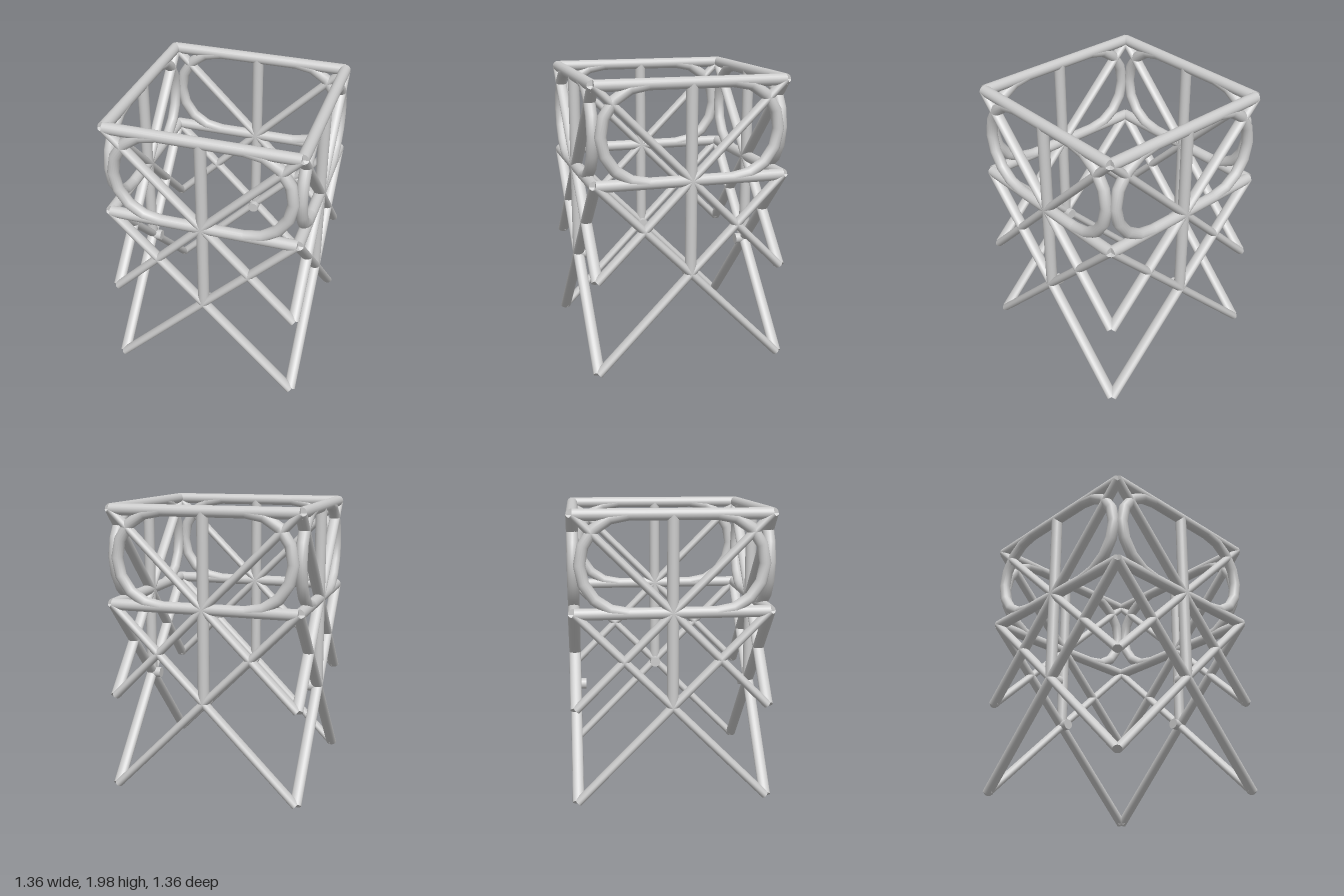
import * as THREE from 'three';

const R = 0.039;                      // tube radius
const HALF = 0.64;                    // distance from centre to each side frame
const Y = [0.035, 0.685, 1.325, 1.96]; // node heights

// Closed faceted path: two half circles joined by straight runs
class StadiumCurve extends THREE.Curve {
  constructor(cx, cy, r, steps) {
    super();
    this.pts = [];
    for (const side of [1, -1]) {
      for (let i = 0; i <= steps; i++) {
        const a = -Math.PI / 2 + (Math.PI * i) / steps;
        this.pts.push(new THREE.Vector3(side * (cx + r * Math.cos(a)), cy + side * r * Math.sin(a), 0));
      }
    }
  }
  at(i) {
    const n = this.pts.length;
    return this.pts[((i % n) + n) % n];
  }
  getPoint(t, target = new THREE.Vector3()) {
    const f = t * this.pts.length, i = Math.floor(f + 1e-6);
    return target.lerpVectors(this.at(i), this.at(i + 1), Math.max(0, f - i));
  }
  getPointAt(u, target) { return this.getPoint(u, target); }
  getTangentAt(u, target = new THREE.Vector3()) {
    const i = Math.round(u * this.pts.length);
    const a = this.at(i).clone().sub(this.at(i - 1)).normalize();
    const b = this.at(i + 1).clone().sub(this.at(i)).normalize();
    return target.copy(a).add(b).normalize();
  }
}

export function createModel() {
  const model = new THREE.Group();
  model.name = 'tubeFrame';
  const material = new THREE.MeshStandardMaterial({ color: 0xcccccc });

  // Straight tube in the panel plane; flat narrows it within that plane
  function bar(name, x0, y0, x1, y1, flat = 1) {
    const g = new THREE.CylinderGeometry(R, R, Math.hypot(x1 - x0, y1 - y0), 20);
    g.scale(flat, 1, 1);
    g.rotateZ(-Math.atan2(x1 - x0, y1 - y0));
    g.translate((x0 + x1) / 2, (y0 + y1) / 2, 0);
    const mesh = new THREE.Mesh(g, material);
    mesh.name = name;
    return mesh;
  }

  function sidePanel() {
    const panel = new THREE.Group();
    panel.name = 'sidePanel';
    panel.add(
      bar('topRail', -HALF, Y[3], HALF, Y[3]),
      bar('middleRail', -HALF, Y[2], HALF, Y[2]),
      bar('centrePost', 0, Y[1], 0, Y[3])
    );

    // Diagonal braces, mirrored left and right
    for (const s of [-1, 1]) {
      panel.add(
        bar('upperBrace', 0, Y[2], s * HALF, Y[3], Math.SQRT1_2),
        bar('crossBraceDown', 0, Y[2], s * HALF, Y[1], Math.SQRT1_2),
        bar('crossBraceUp', 0, Y[1], s * HALF, Y[2], Math.SQRT1_2),
        bar('legBrace', 0, Y[1], s * HALF, Y[0], Math.SQRT1_2)
      );
    }

    // Rounded loop between the two rails
    const path = new StadiumCurve(0.283, (Y[2] + Y[3]) / 2, (Y[3] - Y[2]) / 2, 8);
    const loop = new THREE.Mesh(new THREE.TubeGeometry(path, path.pts.length, R, 16, true), material);
    loop.name = 'roundedLoop';
    panel.add(loop);

    // Short peg pointing inward at the foot of the post
    const pegGeometry = new THREE.CylinderGeometry(R, R, 0.075, 20);
    pegGeometry.rotateX(Math.PI / 2);
    pegGeometry.translate(0, Y[1], -0.0375);
    const peg = new THREE.Mesh(pegGeometry, material);
    peg.name = 'innerPeg';
    panel.add(peg);

    panel.children.forEach((part) => part.geometry.translate(0, 0, HALF));
    return panel;
  }

  // Four identical sides
  ['front', 'left', 'back', 'right'].forEach((side, i) => {
    const panel = sidePanel();
    panel.name = side + 'Panel';
    panel.rotation.y = (i * Math.PI) / 2;
    model.add(panel);
  });
  return model;
}
